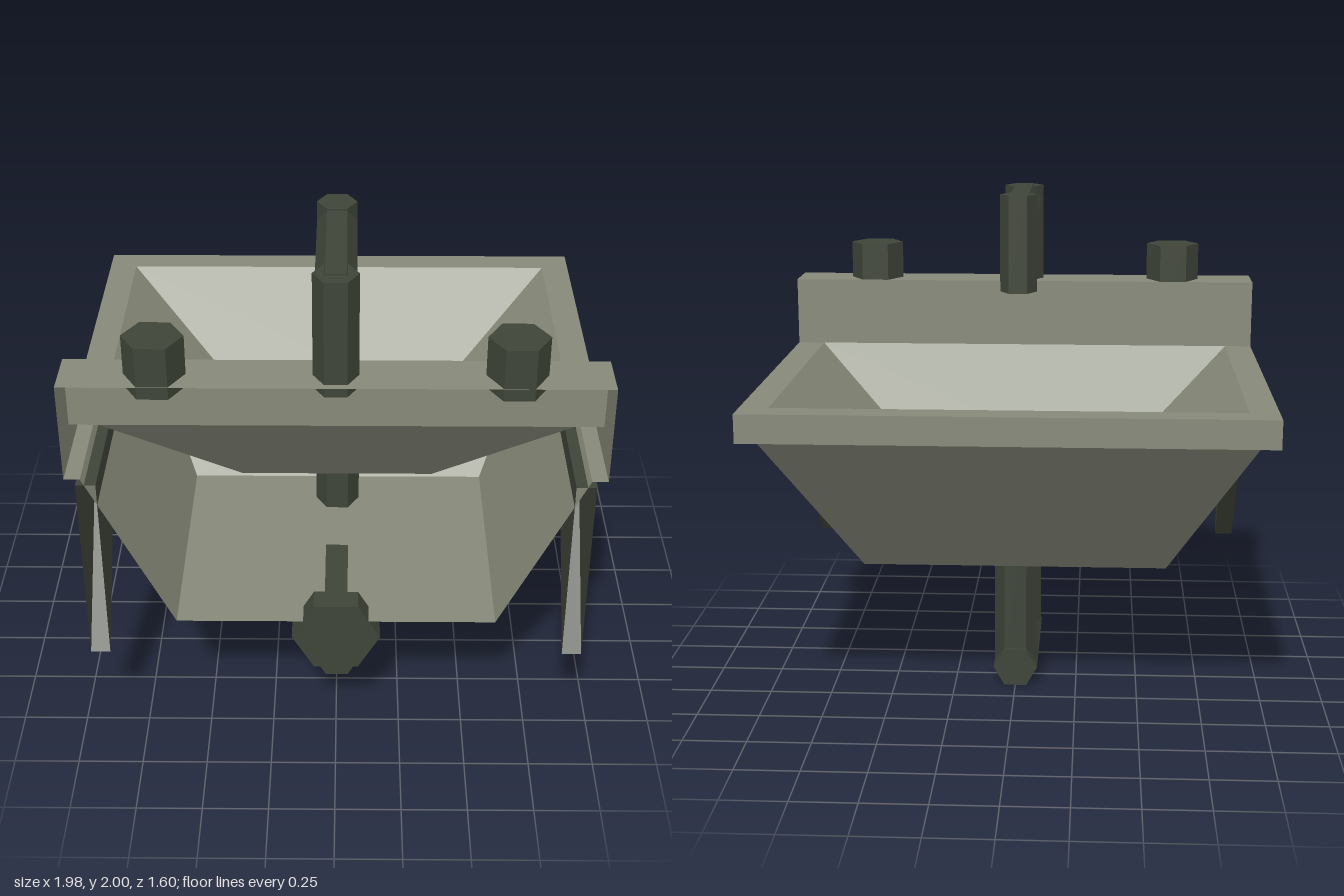
import * as THREE from 'three';

export function createModel() {
  const model = new THREE.Group();
  const ceramic = new THREE.MeshStandardMaterial({ color: 0x878a79, side: THREE.DoubleSide, flatShading: true });
  ceramic.name = 'ceramic';
  const iron = new THREE.MeshStandardMaterial({ color: 0x3f4539, side: THREE.DoubleSide, flatShading: true });
  iron.name = 'dark iron';

  const add = (name, geometry, material) => {
    const mesh = new THREE.Mesh(geometry, material);
    mesh.name = name;
    model.add(mesh);
    return mesh;
  };

  // Flat convex polygons, each split as a fan
  const polygons = (faces) => {
    const points = [];
    for (const f of faces)
      for (let i = 1; i < f.length - 1; i++) points.push(...f[0], ...f[i], ...f[i + 1]);
    const g = new THREE.BufferGeometry();
    g.setAttribute('position', new THREE.Float32BufferAttribute(points, 3));
    g.computeVertexNormals();
    return g;
  };

  // Horizontal rectangle; its sides are numbered 0: -z, 1: +x, 2: +z, 3: -x
  const ring = (x, z0, z1, y) => [[-x, y, z0], [x, y, z0], [x, y, z1], [-x, y, z1]];
  const loft = (rings, sides) => {
    const faces = [];
    for (let r = 0; r < rings.length - 1; r++)
      for (const i of sides) {
        const a = rings[r], b = rings[r + 1], j = (i + 1) % 4;
        faces.push([a[i], b[i], b[j], a[j]]);
      }
    return faces;
  };
  const openBack = [0, 1, 3];

  // Outer shell, open towards the wall
  const base = ring(0.61, -0.195, 0.8, 0.54);
  add('outerBowl', polygons([
    base,
    ...loft([base, ring(0.93, -0.74, 0.8, 1.19)], openBack),
  ]), ceramic);

  // Rim lip and its flat top
  add('rim', polygons([
    ...loft([ring(0.93, -0.74, 0.8, 1.19), ring(0.99, -0.8, 0.8, 1.19), ring(0.99, -0.8, 0.8, 1.3)], openBack),
    ...loft([ring(0.99, -0.8, 0.6, 1.3), ring(0.88, -0.69, 0.6, 1.3)], openBack),
  ]), ceramic);

  // Inner basin
  const floor = ring(0.38, -0.31, 0.23, 0.84);
  add('innerBasin', polygons([
    ...loft([ring(0.88, -0.69, 0.6, 1.3), floor], [0, 1, 2, 3]),
    [...floor].reverse(),
  ]), ceramic);

  // Splashback, open towards the wall
  const splashTop = ring(0.99, 0.6, 0.8, 1.58);
  add('splashback', polygons([
    ...loft([ring(0.99, 0.6, 0.8, 1.3), splashTop], openBack),
    [...splashTop].reverse(),
  ]), ceramic);

  // Triangular wall brackets, open towards the wall
  for (const side of [-1, 1]) {
    const [p, q] = [0.875, 0.95].map((d) => side * d).sort((a, b) => a - b);
    const section = (x) => [[x, 1.165, 0.8], [x, 1.165, 0.19], [x, 0.385, 0.8]];
    const l = section(p), r = section(q);
    add(side > 0 ? 'leftBracket' : 'rightBracket', polygons([
      [l[0], l[1], l[2]],
      [r[0], r[2], r[1]],
      [l[0], r[0], r[1], l[1]],
      [l[1], r[1], r[2], l[2]],
    ]), iron);
  }

  // Upright prism with corners on the x axis
  const upright = (name, radius, x, z, y0, y1, sides = 6) => {
    const g = new THREE.CylinderGeometry(radius, radius, y1 - y0, sides, 1, false, Math.PI / 2);
    add(name, g, iron).position.set(x, (y0 + y1) / 2, z);
  };
  // Prism lying along z
  const lying = (name, radius, y, z0, z1) => {
    const g = new THREE.CylinderGeometry(radius, radius, z1 - z0, 6, 1, false, Math.PI / 2);
    g.rotateX(Math.PI / 2);
    add(name, g, iron).position.set(0, y, (z0 + z1) / 2);
  };

  // Tap handles and spout
  upright('rightTapHandle', 0.112, -0.647, 0.7, 1.53, 1.735);
  upright('leftTapHandle', 0.112, 0.647, 0.7, 1.53, 1.735);
  upright('faucetPost', 0.083, 0, 0.703, 1.53, 1.985);
  lying('faucetArm', 0.075, 1.926, 0.152, 0.72);
  upright('faucetSpout', 0.075, 0, 0.152, 1.605, 2.0);

  // Drain and trap
  upright('drain', 0.131, 0, -0.045, 0.79, 0.846, 8);
  upright('drainPipe', 0.089, 0, -0.038, 0.08, 0.8);
  lying('trapBend', 0.09, 0.078, -0.13, 0.475);
  upright('trapRiser', 0.089, 0, 0.381, 0.08, 0.46);
  lying('wastePipe', 0.089, 0.463, 0.305, 0.75);
  lying('wallFlange', 0.17, 0.463, 0.706, 0.8);

  return model;
}
